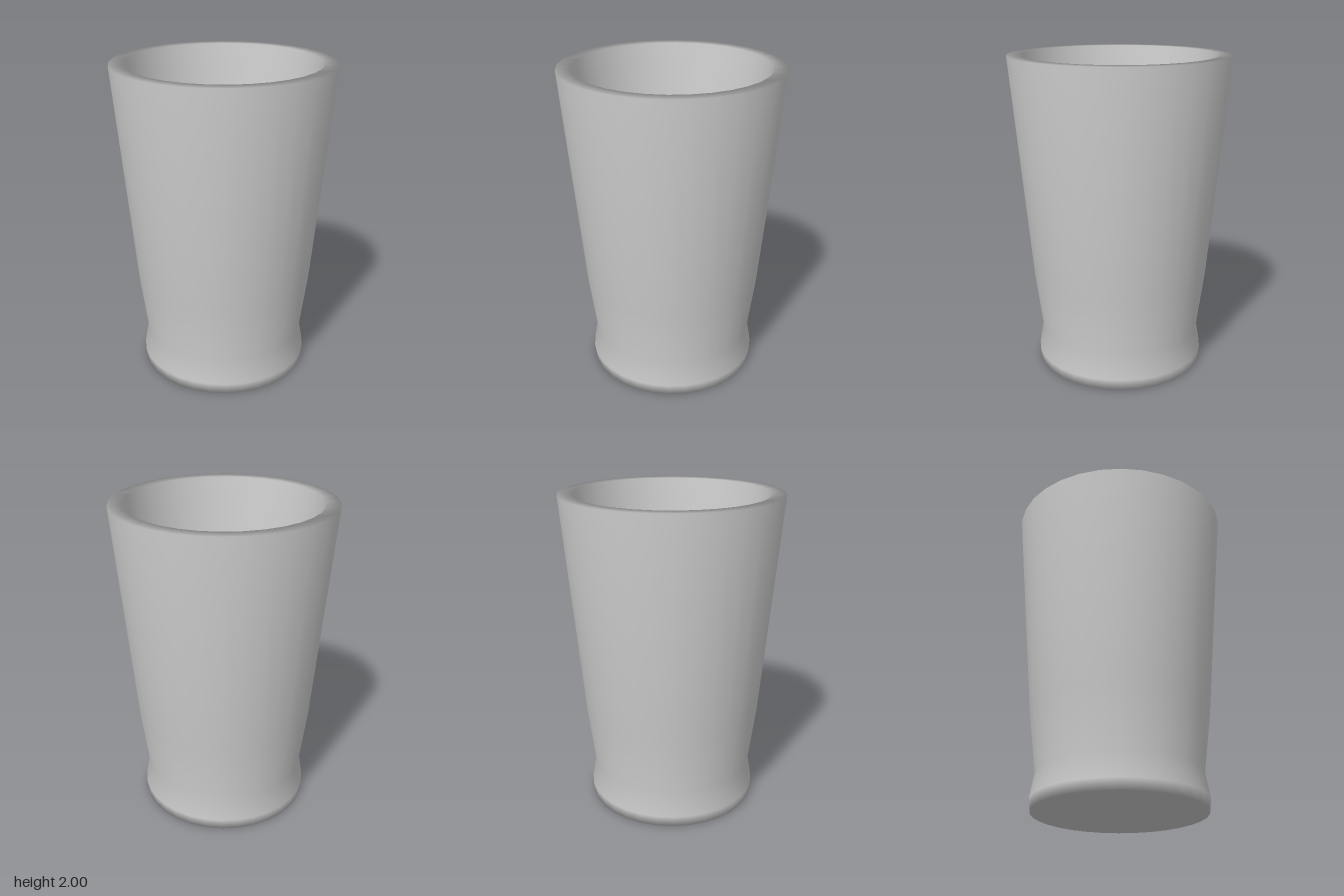
import * as THREE from 'three';

export function createModel() {
  const group = new THREE.Group();
  group.name = 'tumbler';
  const material = new THREE.MeshStandardMaterial({ color: 0xcccccc });

  // One closed profile: underside, flared foot, waist, outer wall, rim, inner wall, floor
  const profile = [
    [0, 0], [0.535, 0], [0.542, 0.07], [0.515, 0.23], [0.563, 0.6], [0.688, 2],
    [0.6, 2], [0.48, 0.6], [0.44, 0.23], [0.43, 0.12], [0, 0.12],
  ].map(([r, y]) => new THREE.Vector2(r, y));

  const cup = new THREE.Mesh(new THREE.LatheGeometry(profile, 32), material);
  cup.name = 'cup';
  group.add(cup);
  return group;
}
